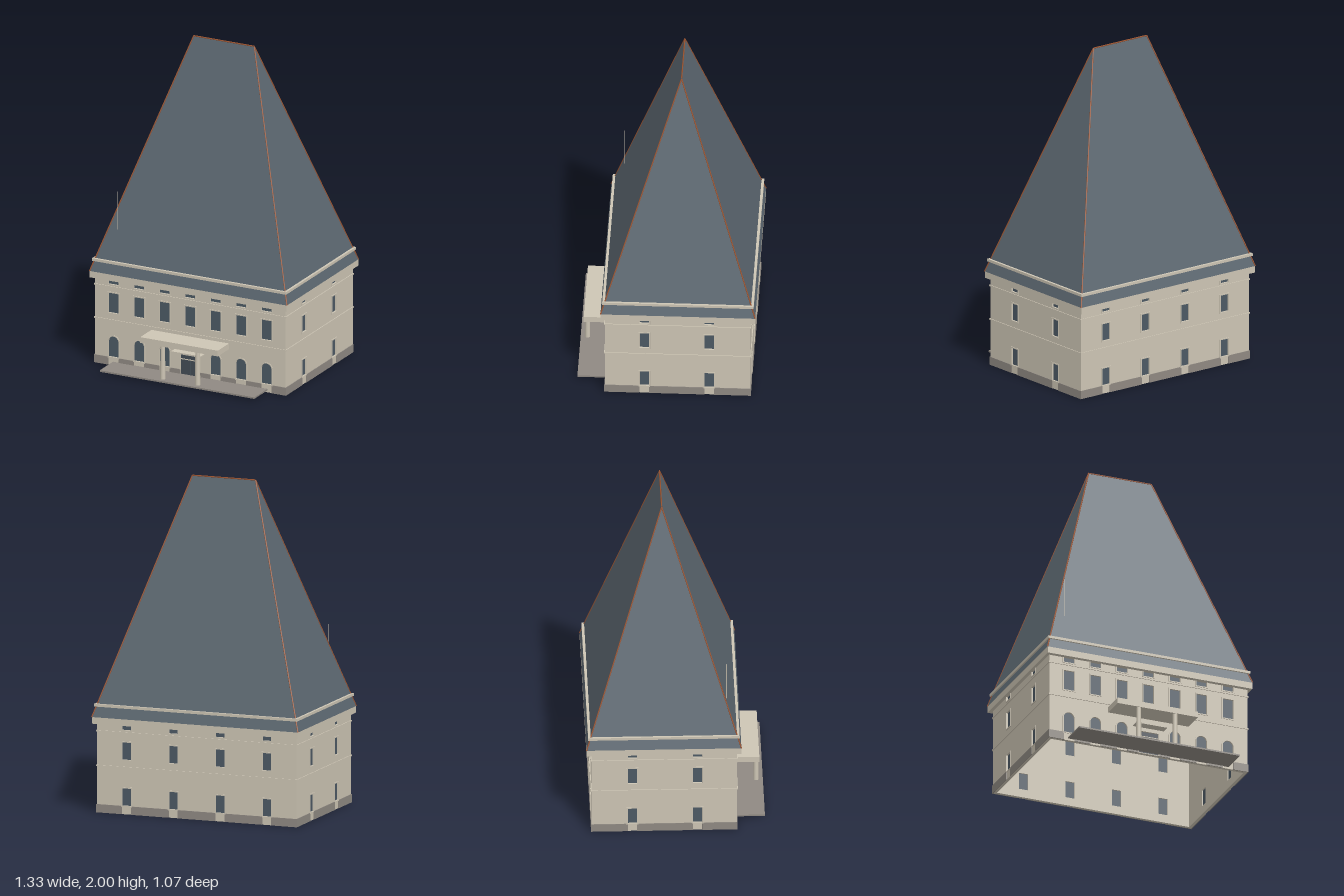
import * as THREE from 'three';

const mat = (name, color, side = THREE.FrontSide) => {
  const m = new THREE.MeshStandardMaterial({ color, side });
  m.name = name;
  return m;
};

export function createModel() {
  const model = new THREE.Group();
  model.name = 'manorHouse';
  const stone = mat('cream stone', 0xcdc5b4);
  const plinthGrey = mat('plinth grey', 0x8f8982);
  const slate = mat('slate', 0x5b666f, THREE.DoubleSide);
  const glass = mat('window glass', 0x4c5964);
  const copper = mat('copper', 0x9c5430);
  const doorPaint = mat('door paint', 0x434c55);

  const add = (parent, name, geo, material, x = 0, y = 0, z = 0) => {
    const m = new THREE.Mesh(geo, material);
    m.name = name;
    m.position.set(x, y, z);
    parent.add(m);
    return m;
  };
  const box = (parent, name, material, x0, x1, y0, y1, z0, z1) =>
    add(parent, name, new THREE.BoxGeometry(x1 - x0, y1 - y0, z1 - z0), material,
      (x0 + x1) / 2, (y0 + y1) / 2, (z0 + z1) / 2);

  // Rectangular outline, optionally with a low round arch as its head
  const opening = (C, x, y0, y1, w, arch) => {
    const p = new C(), h = w / 2;
    p.moveTo(x - h, y0);
    p.lineTo(x + h, y0);
    if (arch) p.absellipse(x, y1 - h, h, h, 0, Math.PI, false);
    else { p.lineTo(x + h, y1); p.lineTo(x - h, y1); }
    p.closePath();
    return p;
  };
  const extrude = (shape, depth) =>
    new THREE.ExtrudeGeometry(shape, { depth, bevelEnabled: false, curveSegments: 10 });

  // One facade: pierced wall, panes, surrounds, string courses and broken plinth
  const T = 0.02;
  function facade(name, width, spread, openings, x, z, turn) {
    const g = new THREE.Group();
    g.name = name;
    g.position.set(x, 0, z);
    g.rotation.y = turn;
    const wall = opening(THREE.Shape, 0, 0, 0.56, width);
    const gaps = [];
    for (const o of openings) {
      wall.holes.push(opening(THREE.Path, o.x, o.y0, o.y1, o.w, o.arch));
      const e = 0.003;
      box(g, o.door ? 'door' : 'windowPane', o.door ? doorPaint : glass,
        o.x - o.w / 2 - e, o.x + o.w / 2 + e, o.y0 - e / 2, o.y1 + e, -0.012, -0.007);
      const b = 0.007;
      const frame = opening(THREE.Shape, o.x, o.door ? 0 : o.y0 - b, o.y1 + b, o.w + 2 * b, o.arch);
      frame.holes.push(opening(THREE.Path, o.x, o.y0, o.y1, o.w, o.arch));
      add(g, 'surround', extrude(frame, 0.004), stone);
      if (o.y0 < 0.1) gaps.push([o.x - o.w / 2, o.x + o.w / 2]);
    }
    add(g, 'wall', extrude(wall, T), stone, 0, 0, -T);
    for (const y of [0.28, 0.49])
      box(g, 'stringCourse', stone, -spread / 2, spread / 2, y, y + 0.008, -0.001, 0.005);
    gaps.sort((a, b) => a[0] - b[0]);
    let start = -spread / 2;
    for (const [a, b] of [...gaps, [spread / 2, 0]]) {
      box(g, 'plinth', plinthGrey, start, a, 0, 0.05, -0.001, 0.004);
      start = b;
    }
    model.add(g);
    return g;
  }

  const HX = 0.64, ZF = 0.365, ZB = -0.5, ZC = -0.07;
  // Upper, attic and ground floor openings at each given position
  const bays = (xs, w, top, ground, arch) => xs.flatMap((x) => [
    { x, w, y0: 0.33, y1: top },
    { x, w, y0: 0.51, y1: 0.54 },
    ...(arch && x === 0 ? [] : [{ x, w, y0: 0.052, y1: ground, arch }]),
  ]);
  const frontBays = bays([-3, -2, -1, 0, 1, 2, 3].map((i) => i * 0.171), 0.068, 0.455, 0.182, true);
  frontBays.push({ x: 0, w: 0.128, y0: 0.004, y1: 0.145, door: true });
  const front = facade('frontFacade', 2 * HX, 2 * HX + 0.008, frontBays, 0, ZF, 0);
  facade('backFacade', 2 * HX, 2 * HX + 0.008,
    bays([-0.45, -0.15, 0.15, 0.45], 0.058, 0.435, 0.157), 0, ZB, Math.PI);
  const depth = ZF - ZB, mid = (ZF + ZB) / 2;
  for (const s of [1, -1]) {
    const side = [0.13, -0.257].map((z) => -s * (z - mid));
    facade(s > 0 ? 'leftFacade' : 'rightFacade', depth - 2 * T, depth,
      bays(side, 0.056, 0.435, 0.157), s * HX, mid, s * Math.PI / 2);
  }

  // Door transom and centre joint
  box(front, 'doorTransom', stone, -0.064, 0.064, 0.113, 0.118, -0.008, -0.003);
  box(front, 'doorJoint', glass, -0.002, 0.002, 0.006, 0.113, -0.008, -0.005);

  // Rectangular rings around the building: cornice and roof band
  const ring = (name, hx, hz, inset, y0, y1) => {
    const s = new THREE.Shape(), h = new THREE.Path();
    for (const [p, a, b] of [[s, hx, hz], [h, hx - inset, hz - inset]]) {
      p.moveTo(-a, -b); p.lineTo(a, -b); p.lineTo(a, b); p.lineTo(-a, b); p.closePath();
    }
    const m = add(model, name, extrude(s, y1 - y0), stone, 0, y0, ZC);
    m.rotation.x = -Math.PI / 2;
  };
  ring('cornice', 0.661, 0.461, 0.045, 0.54, 0.58);
  ring('roofBand', 0.651, 0.451, 0.02, 0.643, 0.659);

  // Steep hipped roof
  const v = (x, y, z) => new THREE.Vector3(x, y, z + ZC);
  const [RX, RZ] = [0.662, 0.461];
  const A = v(-RX, 0.58, RZ), B = v(RX, 0.58, RZ), C = v(RX, 0.58, -RZ), D = v(-RX, 0.58, -RZ);
  const E = v(-0.203, 1.996, 0), F = v(0.203, 1.996, 0);
  const roof = new THREE.BufferGeometry().setFromPoints(
    [A, B, F, A, F, E, B, C, F, C, D, E, C, E, F, D, A, E]);
  roof.computeVertexNormals();
  add(model, 'roof', roof, slate);
  for (const [p, q] of [[A, E], [B, F], [C, F], [D, E], [E, F]])
    add(model, 'ridgeCapping', new THREE.TubeGeometry(new THREE.LineCurve3(p, q), 1, 0.004, 6), copper);

  // Entrance porch with terrace
  box(model, 'terrace', plinthGrey, -0.518, 0.518, 0.012, 0.022, ZF, 0.535);
  box(model, 'porchCanopy', stone, -0.26, 0.26, 0.23, 0.266, ZF, 0.51);
  box(model, 'doorHood', stone, -0.1, 0.1, 0.17, 0.175, ZF, 0.42);
  for (const s of [1, -1])
    add(model, 'porchColumn', new THREE.CylinderGeometry(0.014, 0.016, 0.21, 16), stone, s * 0.117, 0.126, 0.494);

  // Flagpole rising from the roof slope
  add(model, 'flagpole', new THREE.CylinderGeometry(0.002, 0.002, 0.24, 8), stone, -0.516, 0.96, 0.306);

  return model;
}
